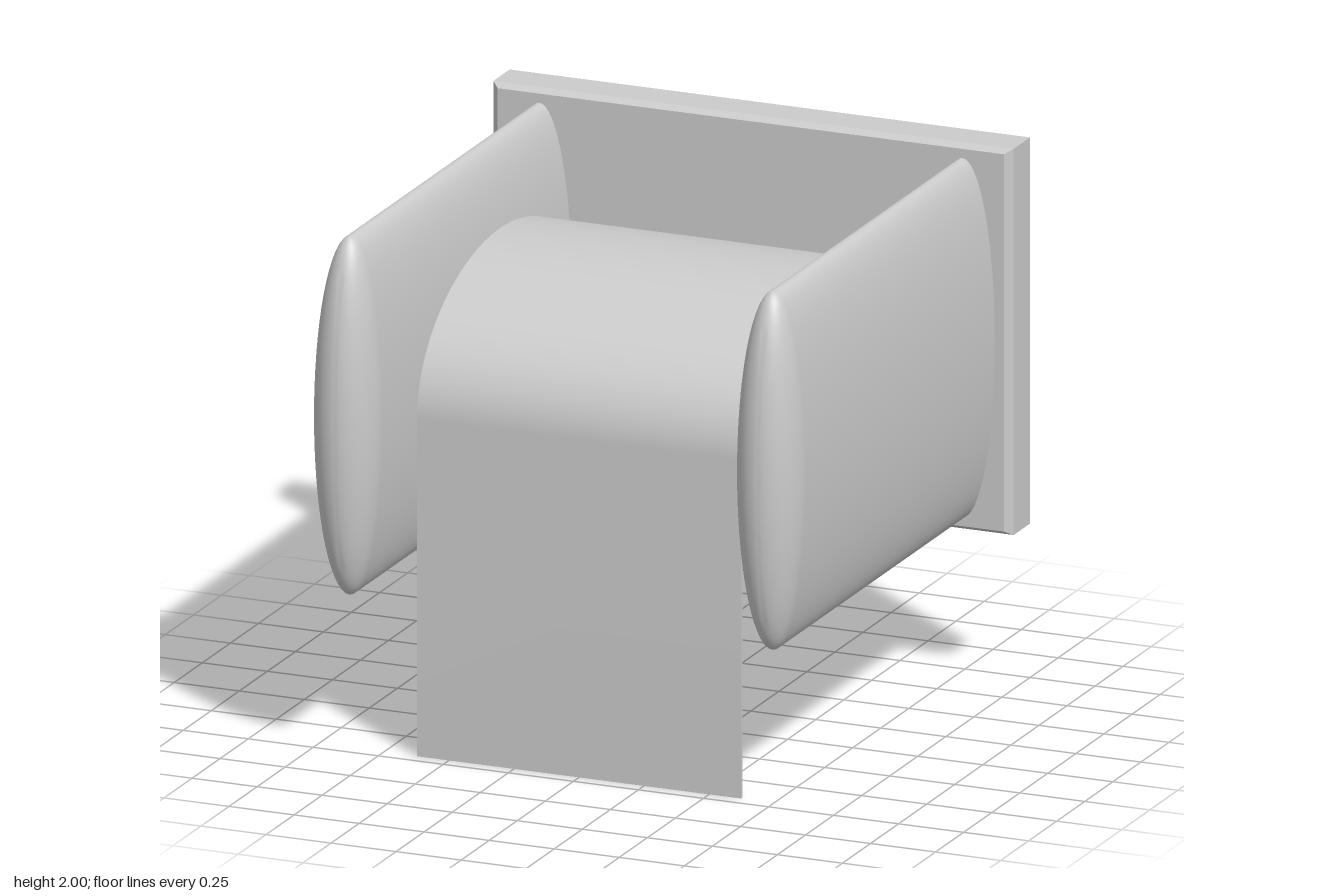
import * as THREE from 'three';
import { toCreasedNormals } from 'three/addons/utils/BufferGeometryUtils.js';

const material = new THREE.MeshStandardMaterial({ color: 0xcccccc });
const AXLE_Y = 1.285, ROLL_Y = 1.25, MID_Z = -0.04;
const ROLL_WIDTH = 1.245, PAPER = 0.012;
const ROLL_RZ = 0.74, ROLL_RY = 0.49;

function addMesh(parent, name, geometry) {
  const mesh = new THREE.Mesh(geometry, material);
  mesh.name = name;
  parent.add(mesh);
  return mesh;
}

// Extrudes a side profile (drawn in z, y) across the width, centred on x = 0
function extrudeAcross(shape, width) {
  const geometry = new THREE.ExtrudeGeometry(shape, { depth: width, bevelEnabled: false, curveSegments: 48 });
  geometry.translate(0, 0, -width / 2).rotateY(-Math.PI / 2);
  return toCreasedNormals(geometry, 0.5);
}

// Wall plate: a box whose front edges are chamfered
function plateGeometry() {
  const geometry = new THREE.BoxGeometry(2, 1.43, 0.17, 1, 1, 2);
  const p = geometry.attributes.position;
  for (let i = 0; i < p.count; i++) {
    const z = p.getZ(i);
    if (z > 0.05) p.setXY(i, p.getX(i) * 0.973, p.getY(i) * 0.977);
    else if (z > -0.05) p.setZ(i, 0.06);
  }
  const flat = geometry.toNonIndexed();
  flat.computeVertexNormals();
  return flat;
}

// Arm: flattened elliptical bar with a domed front end
function armGeometry() {
  const profile = [new THREE.Vector2(0, -0.835), new THREE.Vector2(1, -0.835)];
  const steps = 20;
  for (let i = 0; i <= steps; i++) {
    const a = (i / steps) * Math.PI / 2;
    profile.push(new THREE.Vector2(i === steps ? 0 : Math.cos(a), 0.85 + 0.15 * Math.sin(a)));
  }
  const geometry = new THREE.LatheGeometry(profile, 64);
  geometry.rotateX(Math.PI / 2).scale(0.125, 0.665, 1);
  return toCreasedNormals(geometry, 0.7);
}

export function createModel() {
  const model = new THREE.Group();
  model.name = 'paperRollHolder';

  addMesh(model, 'wallPlate', plateGeometry()).position.set(0, AXLE_Y, -0.915);

  for (const [name, side] of [['leftArm', 1], ['rightArm', -1]]) {
    addMesh(model, name, armGeometry()).position.set(side * 0.813, AXLE_Y, 0);
  }

  // Axle between the arms, oval like the roll
  const axle = new THREE.CylinderGeometry(1, 1, 1.6, 32);
  axle.rotateZ(Math.PI / 2).scale(1, 0.052, 0.07);
  addMesh(model, 'axle', axle).position.set(0, AXLE_Y, MID_Z);

  // Roll hanging on the axle by its core hole
  const rollShape = new THREE.Shape();
  rollShape.absellipse(0, 0, ROLL_RZ - PAPER / 2, ROLL_RY - PAPER / 2, 0, Math.PI * 2, false);
  const core = new THREE.Path();
  core.absellipse(0, 0, 0.13, 0.087, 0, Math.PI * 2, true);
  rollShape.holes.push(core);
  addMesh(model, 'paperRoll', extrudeAcross(rollShape, ROLL_WIDTH)).position.set(0, ROLL_Y, MID_Z);

  // Loose sheet: over the top of the roll and straight down at the front
  const sheet = new THREE.Shape();
  sheet.moveTo(ROLL_RZ, -ROLL_Y);
  sheet.lineTo(ROLL_RZ, 0);
  sheet.absellipse(0, 0, ROLL_RZ, ROLL_RY, 0, Math.PI, false);
  sheet.lineTo(-ROLL_RZ + PAPER, 0);
  sheet.absellipse(0, 0, ROLL_RZ - PAPER, ROLL_RY - PAPER, Math.PI, 0, true);
  sheet.lineTo(ROLL_RZ - PAPER, -ROLL_Y);
  sheet.closePath();
  addMesh(model, 'looseSheet', extrudeAcross(sheet, ROLL_WIDTH)).position.set(0, ROLL_Y, MID_Z);

  return model;
}
